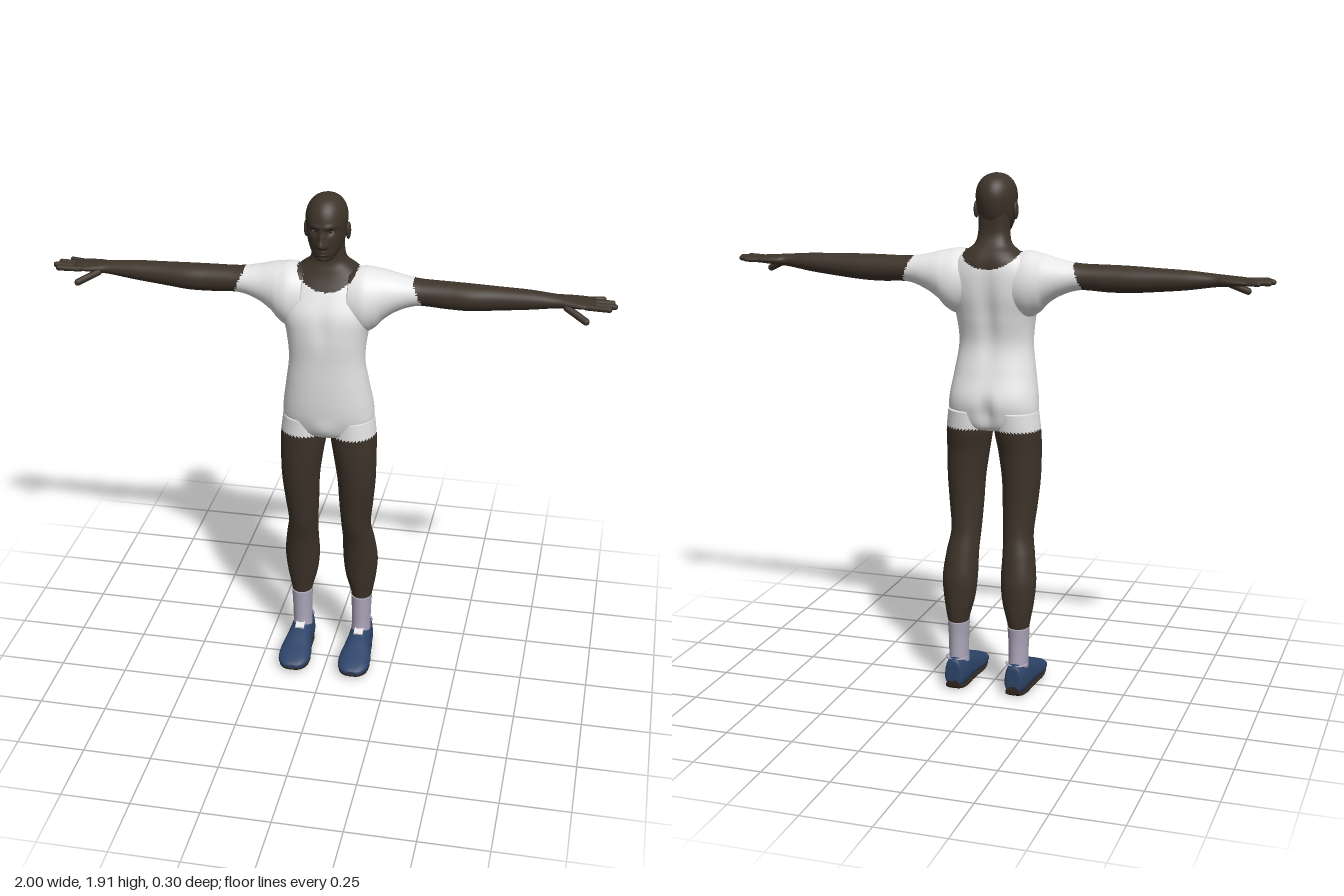
import * as THREE from 'three';

const paint = (name, color) => {
  const m = new THREE.MeshStandardMaterial({ color });
  m.name = name;
  return m;
};

// Smooth interpolation between four neighbouring section values
const spline = (a, b, c, d, t) =>
  b + 0.5 * t * (c - a + t * (2 * a - 5 * b + 4 * c - d + t * (3 * (b - c) + d - a)));

// Maps (along, u, v) to a point for each loft direction
const AXES = {
  x: (t, u, v) => [t, u, v],
  y: (t, u, v) => [u, t, v],
  z: (t, u, v) => [u, v, t],
};

// Skin over oval sections [along, uMin, uMax, vMin, vMax], listed in ascending order.
// power < 1 makes squarer ovals; bend moves points; pick selects a material index.
function loft(axis, sections, { n = 40, steps = 8, power = 1, bend, pick } = {}) {
  const pos = [], rows = (sections.length - 1) * steps;
  const put = (t, u, v) => {
    const p = new THREE.Vector3(...AXES[axis](t, u, v));
    if (bend) bend(p);
    pos.push(p.x, p.y, p.z);
  };
  const at = (r) => {
    const i = Math.min(Math.floor(r / steps), sections.length - 2);
    const s = (k) => sections[THREE.MathUtils.clamp(i + k, 0, sections.length - 1)];
    return s(0).map((_, c) => spline(s(-1)[c], s(0)[c], s(1)[c], s(2)[c], r / steps - i));
  };
  const soft = (w) => Math.sign(w) * Math.abs(w) ** power;
  for (let r = 0; r <= rows; r++) {
    const [t, u0, u1, v0, v1] = at(r);
    for (let j = 0; j < n; j++) {
      const a = (j / n) * Math.PI * 2;
      put(t, (u0 + u1) / 2 + (u1 - u0) / 2 * soft(Math.cos(a)), (v0 + v1) / 2 + (v1 - v0) / 2 * soft(Math.sin(a)));
    }
  }
  for (const r of [0, rows]) {
    const [t, u0, u1, v0, v1] = at(r);
    put(t, (u0 + u1) / 2, (v0 + v1) / 2);
  }
  const lists = [[], []];
  const tri = (a, b, c) => {
    const mid = [0, 1, 2].map((k) => (pos[a * 3 + k] + pos[b * 3 + k] + pos[c * 3 + k]) / 3);
    lists[pick ? pick(...mid) : 0].push(...(axis === 'y' ? [a, c, b] : [a, b, c]));
  };
  const low = (rows + 1) * n;
  for (let j = 0; j < n; j++) {
    const k = (j + 1) % n;
    for (let r = 0; r < rows; r++) {
      const a = r * n + j, b = r * n + k;
      tri(a, b, a + n);
      tri(b, b + n, a + n);
    }
    tri(low, k, j);
    tri(low + 1, rows * n + j, rows * n + k);
  }
  const g = new THREE.BufferGeometry();
  g.setAttribute('position', new THREE.Float32BufferAttribute(pos, 3));
  g.setIndex([...lists[0], ...lists[1]]);
  if (pick) {
    g.addGroup(0, lists[0].length, 0);
    g.addGroup(lists[0].length, lists[1].length, 1);
  }
  g.computeVertexNormals();
  return g;
}

// Mirrored copy across x = 0 with its faces turned outward again
function mirrored(geo) {
  const g = geo.clone().scale(-1, 1, 1), ix = g.index.array;
  for (let i = 0; i < ix.length; i += 3) [ix[i + 1], ix[i + 2]] = [ix[i + 2], ix[i + 1]];
  g.computeVertexNormals();
  return g;
}

const ball = (x, y, z, rx, ry, rz) => new THREE.SphereGeometry(1, 20, 14).scale(rx, ry, rz).translate(x, y, z);

// Rounded digit running from a to b
function digit(a, b, r) {
  const p = new THREE.Vector3(...a), q = new THREE.Vector3(...b), d = q.clone().sub(p);
  const turn = new THREE.Quaternion().setFromUnitVectors(new THREE.Vector3(0, 1, 0), d.clone().normalize());
  return new THREE.CapsuleGeometry(r, d.length() - 2 * r, 5, 12).applyQuaternion(turn)
    .translate((p.x + q.x) / 2, (p.y + q.y) / 2, (p.z + q.z) / 2);
}

const bump = (d, w) => Math.exp(-((d / w) ** 2));

export function createModel() {
  const model = new THREE.Group();
  const skin = paint('skin', 0x3d3329), shirt = paint('shirt white', 0xe6e6e6);
  const sock = paint('sock lilac', 0xaba5b8), shoe = paint('shoe blue', 0x2d4468);
  const sole = paint('sole brown', 0x30261f), eyeWhite = paint('eye white', 0x9a9a98), iris = paint('iris', 0x17120f);
  const add = (name, geo, mat) => {
    const m = new THREE.Mesh(geo, mat);
    m.name = name;
    model.add(m);
  };
  const pair = (name, geo, mat) => {
    add('left ' + name, geo, mat);
    add('right ' + name, mirrored(geo), mat);
  };
  const inCollar = (x, y, z) =>
    y > 1.655 || (x / 0.108) ** 2 + ((y - 1.65) / (z > 0 ? 0.085 : 0.072)) ** 2 < 1;

  // Torso and neck: [y, half width, front z, back z]
  const torso = [
    [0.982, 0.06, 0.03, -0.055], [1.0, 0.145, 0.065, -0.095], [1.05, 0.165, 0.088, -0.115],
    [1.11, 0.163, 0.102, -0.122], [1.2, 0.149, 0.11, -0.097], [1.3, 0.136, 0.115, -0.077],
    [1.4, 0.146, 0.122, -0.093], [1.48, 0.168, 0.116, -0.108], [1.55, 0.165, 0.085, -0.112],
    [1.6, 0.137, 0.058, -0.106], [1.632, 0.1, 0.045, -0.092], [1.66, 0.067, 0.037, -0.07],
    [1.7, 0.057, 0.036, -0.054], [1.77, 0.055, 0.03, -0.056],
  ].map(([y, w, f, b]) => [y, -w, w, b, f]);
  add('torso', loft('y', torso, {
    n: 72, steps: 10, power: 0.88, pick: (...p) => (inCollar(...p) ? 1 : 0),
    bend: (p) => {
      if (p.z < -0.03) {
        p.z += 0.02 * bump(p.x, 0.022) * bump(p.y - 1.06, 0.06); // seat cleft
        p.z += 0.016 * bump(p.x, 0.03) * bump(p.y - 1.42, 0.16); // spine groove
      } else if (p.z > 0.03) {
        p.z -= 0.008 * bump(p.x, 0.025) * bump(p.y - 1.45, 0.07); // chest groove
        p.z += 0.01 * bump(p.x, 0.04) * bump(p.y - 1.03, 0.04);
      }
    },
  }), [shirt, skin]);

  // Arms with sleeves: [x, low y, high y, back z, front z]
  const arm = [
    [0.08, 1.41, 1.63, -0.095, 0.085], [0.13, 1.4, 1.638, -0.106, 0.095], [0.17, 1.42, 1.632, -0.106, 0.085],
    [0.2, 1.452, 1.626, -0.1, 0.07], [0.25, 1.485, 1.613, -0.087, 0.05], [0.32, 1.508, 1.602, -0.07, 0.036],
    [0.42, 1.505, 1.601, -0.064, 0.036], [0.5, 1.506, 1.6, -0.062, 0.04], [0.6, 1.515, 1.597, -0.055, 0.03],
    [0.7, 1.526, 1.594, -0.05, 0.025], [0.79, 1.54, 1.587, -0.042, 0.022], [0.83, 1.544, 1.584, -0.053, 0.028],
    [0.88, 1.549, 1.58, -0.06, 0.036], [0.915, 1.553, 1.576, -0.057, 0.033], [0.925, 1.558, 1.572, -0.05, 0.026],
  ];
  pair('arm', loft('x', arm, {
    pick: (x, y, z) => (x > 0.32 - (y - 1.55) * 0.4 || inCollar(x, y, z) ? 1 : 0),
  }), [shirt, skin]);

  // Fingers: [root z, tip x, tip z]
  [[0.025, 0.982, 0.036], [0.001, 1.0, 0.007], [-0.024, 0.99, -0.024], [-0.047, 0.957, -0.058]].forEach(([z, tx, tz], i) =>
    pair('finger ' + (i + 1), digit([0.885, 1.563, z], [tx, 1.565, tz], i === 3 ? 0.0085 : 0.01), skin));
  pair('thumb', digit([0.82, 1.558, 0.015], [0.908, 1.517, 0.057], 0.0125), skin);

  // Legs: [y, inner x, outer x, back z, front z]
  const leg = [
    [0.24, 0.082, 0.152, -0.12, -0.036], [0.28, 0.073, 0.16, -0.127, -0.032], [0.35, 0.055, 0.172, -0.131, -0.02],
    [0.43, 0.047, 0.178, -0.13, -0.008], [0.52, 0.048, 0.168, -0.112, 0.008], [0.6, 0.045, 0.156, -0.093, 0.03],
    [0.7, 0.039, 0.166, -0.085, 0.047], [0.8, 0.034, 0.175, -0.086, 0.064], [0.9, 0.02, 0.177, -0.09, 0.074],
    [0.98, 0.007, 0.176, -0.104, 0.076], [1.06, 0.007, 0.167, -0.112, 0.078],
  ];
  pair('leg', loft('y', leg, { steps: 10, pick: (x, y) => (y > 0.994 ? 0 : 1) }), [shirt, skin]);

  // Socks
  pair('sock', loft('y', [
    [0.07, 0.078, 0.152, -0.13, -0.02], [0.13, 0.08, 0.152, -0.125, -0.03],
    [0.2, 0.079, 0.154, -0.123, -0.031], [0.257, 0.076, 0.157, -0.127, -0.03],
  ]), sock);

  // Shoes and soles: [z, inner x, outer x, low y, high y]
  const foot = [
    [-0.149, 0.095, 0.138, 0.03, 0.095], [-0.142, 0.082, 0.151, 0.012, 0.12], [-0.1, 0.071, 0.161, 0.006, 0.122],
    [-0.04, 0.069, 0.165, 0.006, 0.114], [0.01, 0.063, 0.171, 0.008, 0.1], [0.06, 0.056, 0.177, 0.01, 0.08],
    [0.11, 0.06, 0.173, 0.016, 0.062], [0.138, 0.077, 0.156, 0.02, 0.049], [0.148, 0.097, 0.137, 0.026, 0.04],
  ];
  // The upper narrows with height towards the ankle
  pair('shoe', loft('z', foot, {
    power: 0.8,
    bend: (p) => { p.x = 0.116 + (p.x - 0.116) * (1 - Math.max(0, p.y - 0.045) * 2.2); },
  }), shoe);
  pair('sole', loft('z', foot.map(([z, a, b, y]) => [z, a + 0.004, b - 0.004, y - 0.006, y + 0.012]), { power: 0.7 }), sole);
  pair('shoe tongue', new THREE.BoxGeometry(0.034, 0.008, 0.03).rotateX(0.35).translate(0.116, 0.114, -0.022), shirt);
  pair('heel trim', new THREE.TorusGeometry(0.039, 0.0035, 8, 24, Math.PI).rotateX(-Math.PI / 2).translate(0.116, 0.118, -0.098), sock);

  // Head with modelled face: [y, half width, front z, back z]
  const head = [
    [1.684, 0.014, 0.085, 0.04], [1.69, 0.03, 0.101, 0.015], [1.705, 0.044, 0.108, -0.02], [1.73, 0.057, 0.11, -0.045],
    [1.76, 0.066, 0.112, -0.061], [1.8, 0.071, 0.114, -0.071], [1.835, 0.072, 0.112, -0.072], [1.865, 0.064, 0.1, -0.062],
    [1.887, 0.048, 0.08, -0.043], [1.899, 0.029, 0.058, -0.018], [1.905, 0.006, 0.025, 0.012],
  ].map(([y, w, f, b]) => [y, -w, w, b, f]);
  add('head', loft('y', head, {
    n: 80,
    bend: (p) => {
      if (p.z < 0.045) return;
      const ax = Math.abs(p.x), y = p.y;
      p.z += 0.024 * bump(p.x, 0.013) * bump(y - 1.752, 0.014) + 0.012 * bump(p.x, 0.009) * bump(y - 1.775, 0.02); // nose
      p.z += 0.007 * bump(ax - 0.014, 0.008) * bump(y - 1.747, 0.008); // nostrils
      p.z -= 0.011 * bump(ax - 0.028, 0.015) * bump(y - 1.796, 0.012); // eye sockets
      p.z += 0.006 * bump(ax - 0.026, 0.022) * bump(y - 1.815, 0.008); // brows
      p.z += 0.008 * bump(p.x, 0.02) * (bump(y - 1.727, 0.005) + bump(y - 1.715, 0.005)); // lips
      p.z -= 0.004 * bump(p.x, 0.025) * bump(y - 1.705, 0.005);
    },
  }), skin);
  pair('ear', ball(0.073, 1.775, 0.012, 0.009, 0.031, 0.018).rotateZ(0), skin);
  pair('eye', ball(0.028, 1.796, 0.087, 0.011, 0.006, 0.01), eyeWhite);
  pair('iris', ball(0.028, 1.796, 0.0945, 0.0045, 0.0045, 0.004), iris);
  return model;
}
